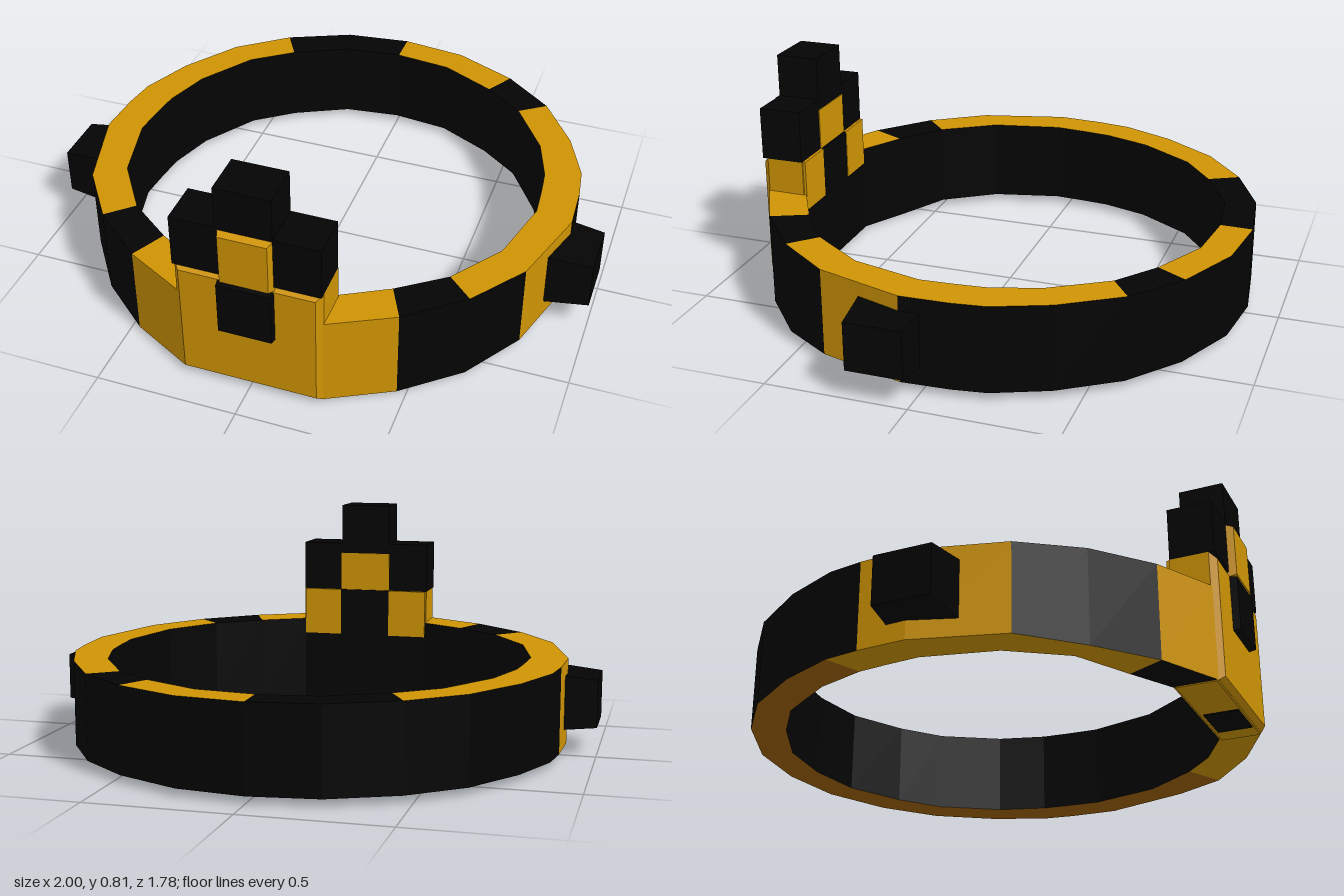
import * as THREE from 'three';

export function createModel() {
  const makeMaterial = (name, color) => {
    const material = new THREE.MeshStandardMaterial({ color, flatShading: true });
    material.name = name;
    return material;
  };
  const gold = makeMaterial('gold', 0xcf9404);
  const black = makeMaterial('black', 0x040404);
  const brown = makeMaterial('brown', 0xa06408);

  const model = new THREE.Group();
  model.name = 'circlet';

  // Half outlines of the band as [x, z], from the back round to the front
  const outer = [[0, -0.89], [0.24, -0.86], [0.47, -0.755], [0.65, -0.61], [0.785, -0.41], [0.865, -0.22],
    [0.882, -0.1], [0.89, 0.07], [0.8, 0.38], [0.66, 0.575], [0.47, 0.735], [0.25, 0.85]];
  const inner = [[0, -0.775], [0.21, -0.75], [0.41, -0.65], [0.555, -0.54], [0.685, -0.34], [0.74, -0.17],
    [0.751, -0.07], [0.76, 0.05], [0.7, 0.3], [0.57, 0.49], [0.41, 0.61], [0.25, 0.7]];
  const fullLoop = (half) => [...half, ...half.slice(1).reverse().map(([x, z]) => [-x, z])];
  const out = fullLoop(outer), inn = fullLoop(inner);

  // One letter per segment, G gold, B black, N brown: left side, front, right side
  const topColours = 'GGBGGGGGGBG' + 'G' + 'GBGGGGGGGBB';
  const wallColours = 'BBBBBBBGBBG' + 'G' + 'GBBGGBBBBBB';
  const baseColours = 'NNNNNNNNNGG' + 'G' + 'BGGGGGNNNNN';

  const faces = { G: [], B: [], N: [] };
  const quad = (key, a, b, c, d) => faces[key].push(...a, ...b, ...c, ...a, ...c, ...d);
  const low = ([x, z]) => [x, z > 0.5 ? 0.012 : 0.03, z];
  const high = ([x, z]) => [x, 0.337 + 0.01 * z, z];

  for (let i = 0; i < out.length; i++) {
    const j = (i + 1) % out.length;
    const ao = out[i], bo = out[j], ai = inn[i], bi = inn[j];
    quad(wallColours[i], low(bo), low(ao), high(ao), high(bo));
    quad(topColours[i], high(bi), high(bo), high(ao), high(ai));
    quad('B', low(ai), low(bi), high(bi), high(ai));
    quad(baseColours[i], low(ai), low(ao), low(bo), low(bi));
  }
  for (const [key, material, name] of [['G', gold, 'goldBand'], ['B', black, 'blackBand'], ['N', brown, 'brownUnderside']]) {
    const geometry = new THREE.BufferGeometry();
    geometry.setAttribute('position', new THREE.Float32BufferAttribute(faces[key], 3));
    geometry.computeVertexNormals();
    const mesh = new THREE.Mesh(geometry, material);
    mesh.name = name;
    model.add(mesh);
  }

  // Block between two corners; its +z end can be narrowed by an inset
  function block(name, material, [x0, y0, z0], [x1, y1, z1], inset = 0) {
    const geometry = new THREE.BoxGeometry(x1 - x0, y1 - y0, z1 - z0);
    const p = geometry.attributes.position;
    for (let i = 0; i < p.count; i++) {
      if (p.getZ(i) > 0) {
        p.setX(i, p.getX(i) - Math.sign(p.getX(i)) * inset);
        p.setY(i, p.getY(i) - Math.sign(p.getY(i)) * inset);
      }
    }
    geometry.computeVertexNormals();
    const mesh = new THREE.Mesh(geometry, material);
    mesh.position.set((x0 + x1) / 2, (y0 + y1) / 2, (z0 + z1) / 2);
    mesh.name = name;
    return mesh;
  }

  // Stepped crest at the front
  const crest = new THREE.Group();
  crest.name = 'crest';
  crest.add(
    block('crestBase', gold, [-0.255, 0.008, 0.708], [0.255, 0.47, 0.845]),
    block('crestFrontPanel', gold, [-0.255, 0.008, 0.845], [0.255, 0.47, 0.868], 0.02),
    block('crestShoulders', black, [-0.255, 0.47, 0.71], [0.255, 0.66, 0.865]),
    block('crestTop', black, [-0.097, 0.66, 0.71], [0.097, 0.815, 0.867]),
    block('goldStud', gold, [-0.09, 0.452, 0.86], [0.097, 0.655, 0.89], 0.01),
    block('blackStud', black, [-0.097, 0.248, 0.86], [0.097, 0.45, 0.893], 0.004),
    block('goldBackPatch', gold, [-0.1, 0.47, 0.707], [0.1, 0.62, 0.711]),
    block('blackBackPatch', black, [-0.1, 0.3, 0.7], [0.1, 0.47, 0.709]),
    block('underPatch', black, [0, 0.004, 0.72], [0.17, 0.009, 0.84])
  );
  // Gold feet running a little way down the inner wall
  for (const x of [-0.25, 0.1]) {
    crest.add(block('crestFoot', gold, [x, 0.285, 0.698], [x + 0.15, 0.47, 0.7075]));
  }
  model.add(crest);

  // Tapered knobs on both sides
  for (const side of [1, -1]) {
    const knob = new THREE.Group();
    knob.name = side > 0 ? 'leftKnob' : 'rightKnob';
    knob.add(block('knobBlock', black, [-0.115, -0.1, 0], [0.115, 0.1, 0.16], 0.015));
    knob.position.set(side * 0.84, 0.19, 0.112);
    knob.rotation.y = side * Math.PI / 2;
    model.add(knob);
  }
  return model;
}
